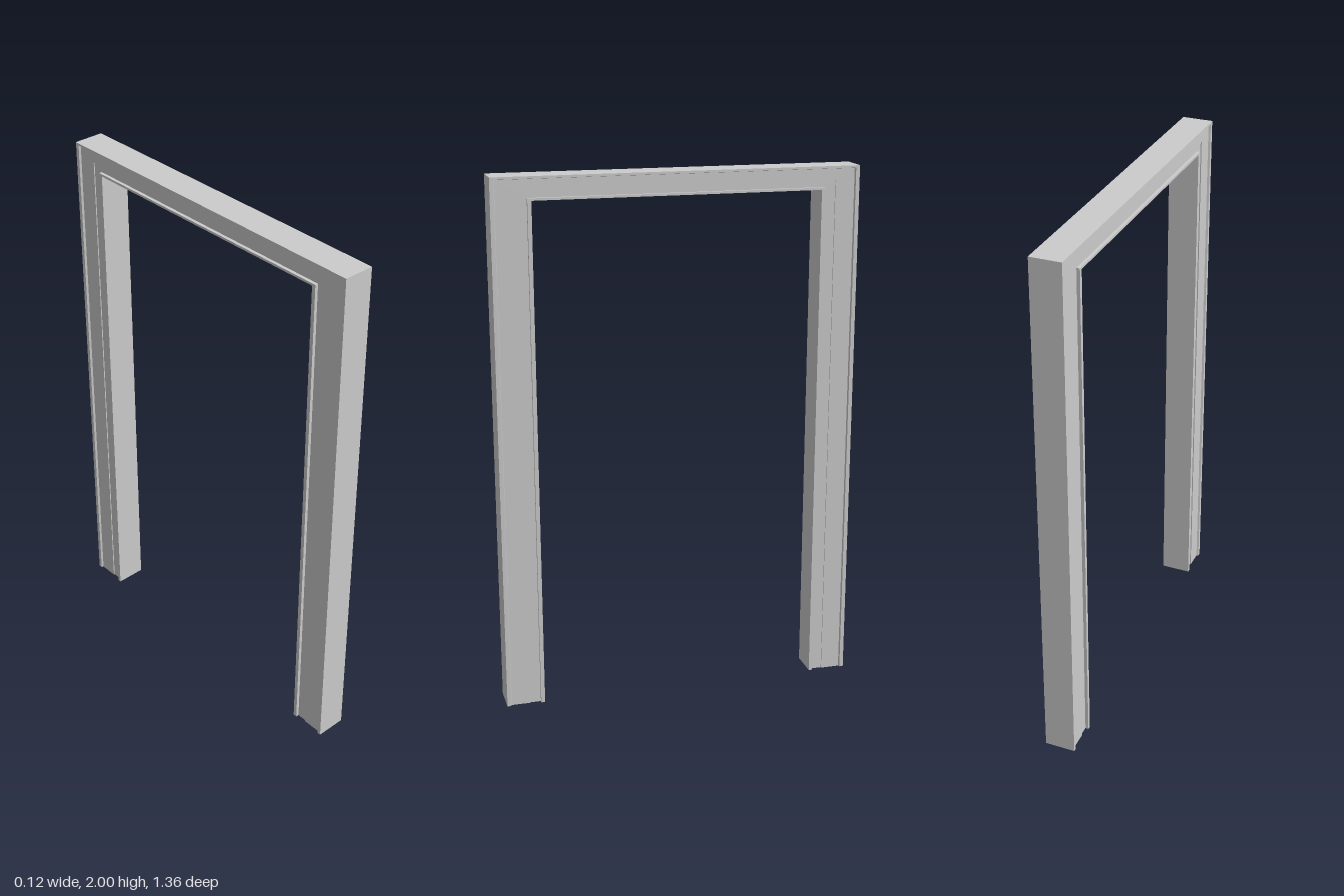
import * as THREE from 'three';

// Frame sizes
const HEIGHT = 2, HALF_WIDTH = 0.68, HALF_DEPTH = 0.058;
const JAMB = 0.145, HEAD = 0.085;

// Moulded face: [share of the way from outer to inner edge, recess depth]
const FACE = [[0, 0], [0.1, 0], [0.12, 0.008], [0.62, 0.008], [0.62, 0.012], [0.9, 0.012], [0.9, 0], [1, 0]];

// Closed profile, both faces moulded alike
const PROFILE = [
  ...FACE.map(([t, d]) => [t, HALF_DEPTH - d]),
  ...FACE.map(([t, d]) => [t, d - HALF_DEPTH]).reverse(),
];

// Profile at a corner of the frame; top sections lie on the mitre
const section = (side, top) => PROFILE.map(([t, x]) =>
  [x, top ? HEIGHT - HEAD * t : 0, side * (HALF_WIDTH - JAMB * t)]);

// One straight member between two sections, with optional foot caps
function member(name, a, b, capStart, capEnd, material) {
  const positions = [];
  const quad = (p, q, r, s) => positions.push(...p, ...q, ...r, ...p, ...r, ...s);
  const m = a.length;
  for (let i = 0; i < m; i++) {
    const j = (i + 1) % m;
    quad(a[i], a[j], b[j], b[i]);
  }
  for (let i = 0; i < m / 2 - 1; i++) {
    const k = m - 1 - i;
    if (capStart) quad(a[k], a[k - 1], a[i + 1], a[i]);
    if (capEnd) quad(b[i], b[i + 1], b[k - 1], b[k]);
  }
  const geometry = new THREE.BufferGeometry();
  geometry.setAttribute('position', new THREE.Float32BufferAttribute(positions, 3));
  geometry.computeVertexNormals();
  const mesh = new THREE.Mesh(geometry, material);
  mesh.name = name;
  return mesh;
}

export function createModel() {
  const group = new THREE.Group();
  group.name = 'doorFrame';
  const material = new THREE.MeshStandardMaterial({ color: 0xcccccc, flatShading: true });
  const frontFoot = section(1, false), frontCorner = section(1, true);
  const backCorner = section(-1, true), backFoot = section(-1, false);
  group.add(
    member('frontJamb', frontFoot, frontCorner, true, false, material),
    member('headPiece', frontCorner, backCorner, false, false, material),
    member('backJamb', backCorner, backFoot, false, true, material),
  );
  return group;
}
